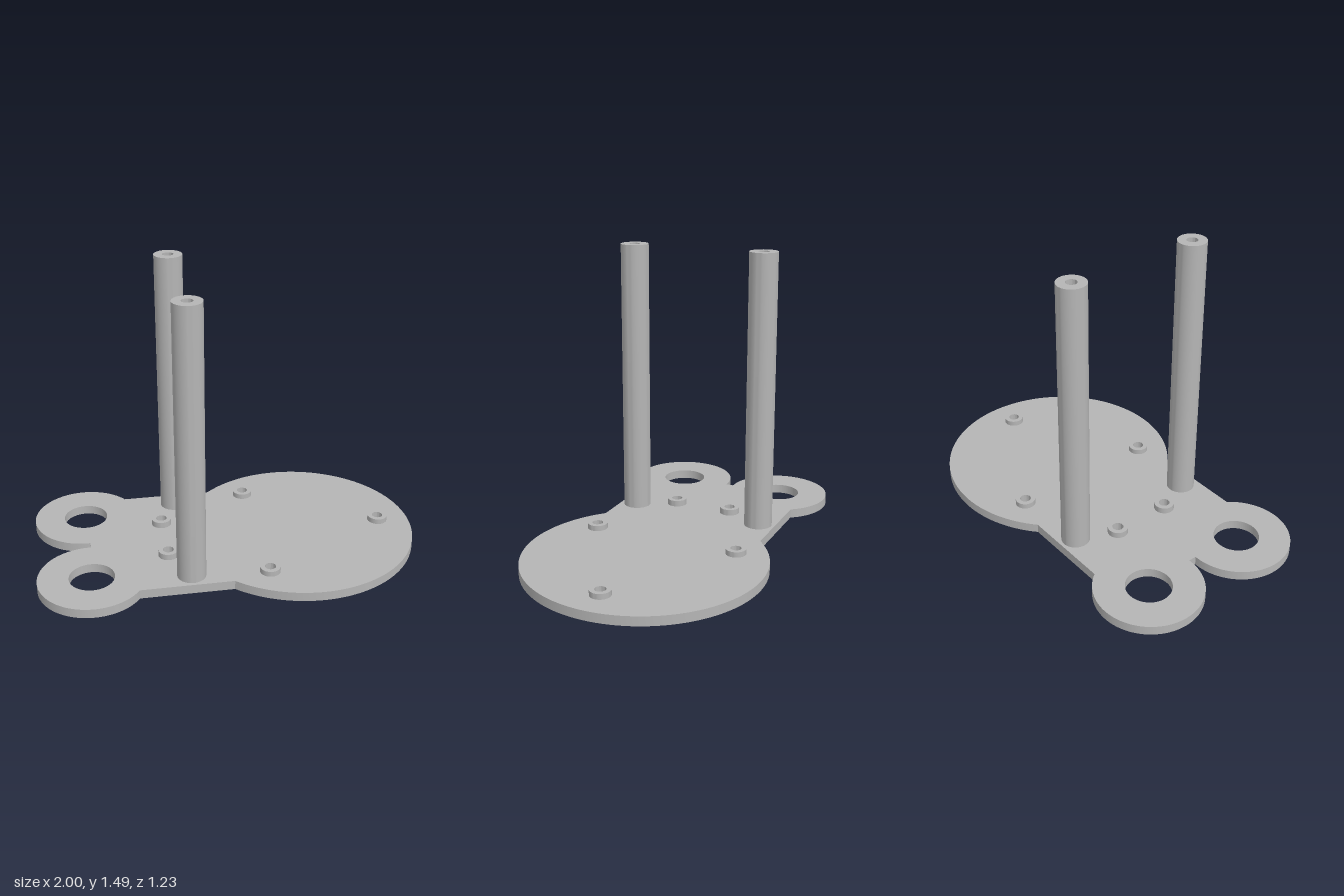
import * as THREE from 'three';
import { toCreasedNormals } from 'three/addons/utils/BufferGeometryUtils.js';

const T = 0.048; // plate thickness
const gray = new THREE.MeshStandardMaterial({ color: 0xb5b5b5 });
gray.name = 'plain gray';

function circleHole(x, y, r) {
  const hole = new THREE.Path();
  hole.absarc(x, y, r, 0, Math.PI * 2, true);
  return hole;
}

function addMesh(group, name, geometry, x = 0, y = 0, z = 0) {
  const mesh = new THREE.Mesh(toCreasedNormals(geometry, 0.6), gray);
  mesh.name = name;
  mesh.position.set(x, y, z);
  group.add(mesh);
}

// Solid of revolution from [radius, height] pairs
function turned(profile) {
  return new THREE.LatheGeometry(profile.map(([r, y]) => new THREE.Vector2(r, y)), 48);
}

export function createModel() {
  const model = new THREE.Group();
  model.name = 'postPlate';

  // boss centres [x, z, top height]
  const bosses = [[0.833, 0, 0.076]];
  for (const s of [1, -1]) bosses.push([0.157, s * 0.39, 0.076], [-0.33, s * 0.157, 0.08]);

  // Base plate: large disc, straight neck and two ring lobes
  const neck = 0.447, lobeX = -0.73, lobeZ = 0.293, lobeR = 0.272;
  const a = Math.PI - Math.asin(neck / 0.613);
  const b = Math.asin((neck - lobeZ) / lobeR);
  const c = Math.acos(0.01 / lobeR);
  const outline = new THREE.Shape();
  outline.absarc(0.387, 0, 0.613, -a, a, false);
  outline.absarc(lobeX, lobeZ, lobeR, b, 2 * Math.PI - c, false);
  outline.absarc(lobeX, -lobeZ, lobeR, c, 2 * Math.PI - b, false);
  outline.closePath();
  for (const s of [1, -1]) outline.holes.push(circleHole(lobeX, s * lobeZ, 0.115));
  for (const [x, z] of bosses) outline.holes.push(circleHole(x, -z, 0.028));
  const plate = new THREE.ExtrudeGeometry(outline, { depth: T, bevelEnabled: false, curveSegments: 64 });
  plate.rotateX(-Math.PI / 2);
  addMesh(model, 'basePlate', plate);

  // Hollow mounting bosses around the through holes
  for (const [x, z, top] of bosses) {
    const h = top - T;
    addMesh(model, 'mountingBoss', turned([[0.052, 0], [0.052, h], [0.028, h], [0.028, 0]]), x, T, z);
  }

  // Tall posts with a blind hole in the top
  const H = 1.49 - T;
  for (const s of [1, -1]) {
    const post = turned([[0.073, 0], [0.073, H], [0.028, H], [0.028, H - 0.2], [0, H - 0.2]]);
    addMesh(model, s > 0 ? 'frontPost' : 'backPost', post, -0.237, T, s * 0.357);
  }
  return model;
}
